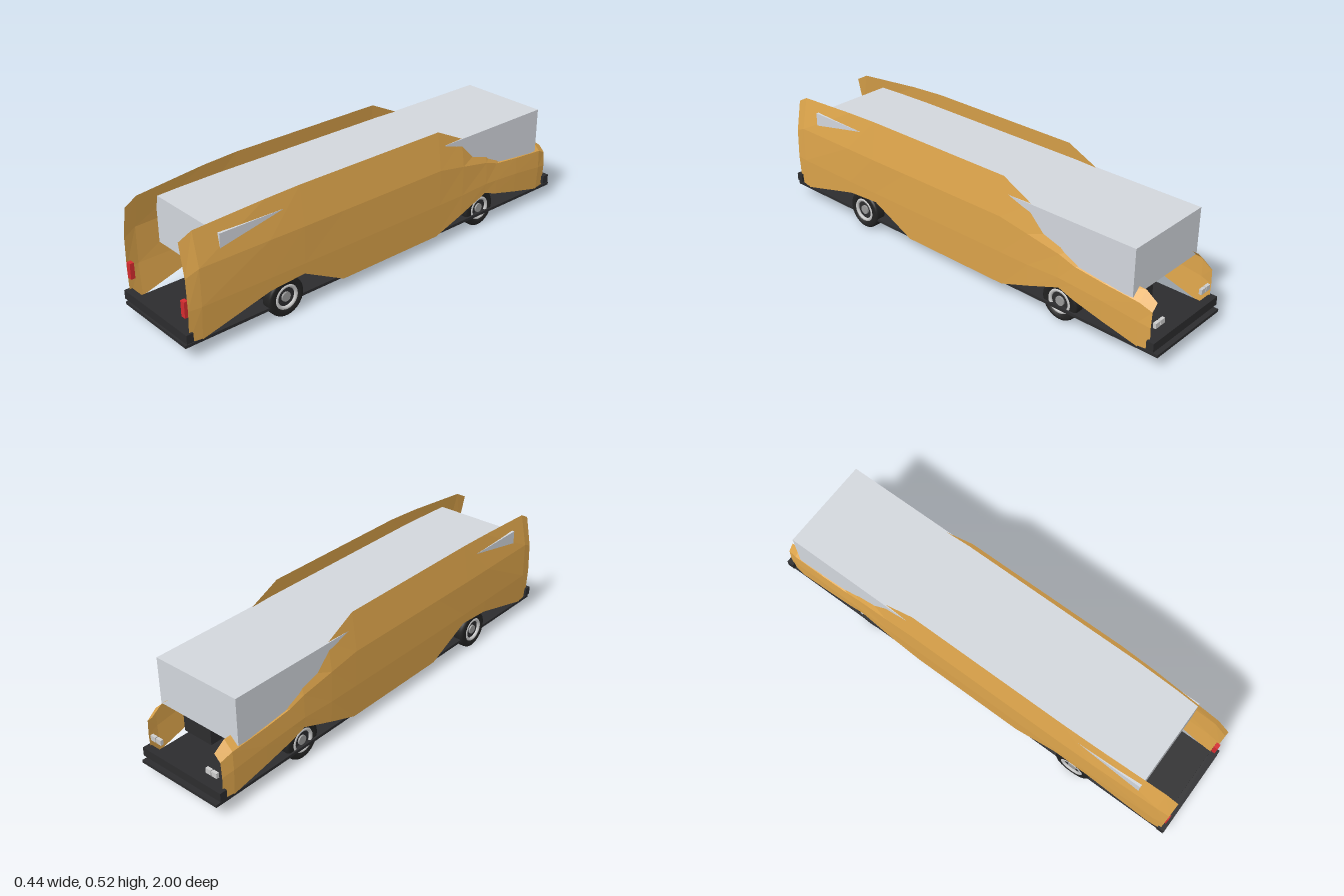
import * as THREE from 'three';

const mat = (color, extra = {}) => new THREE.MeshStandardMaterial({ color, ...extra });
const gold = mat(0xdfa64c, { side: THREE.DoubleSide, flatShading: true });
const shell = mat(0xd2d6dc), black = mat(0x2c2c2e), tyreMat = mat(0x222222);
const blue = mat(0x4d5b7c), red = mat(0xd42b2f), chrome = mat(0xdddddd), grey = mat(0x999999);

// Box given by its low and high corners
function box(name, lo, hi, material) {
  const g = new THREE.BoxGeometry(hi[0] - lo[0], hi[1] - lo[1], hi[2] - lo[2]);
  const m = new THREE.Mesh(g, material);
  m.position.set((lo[0] + hi[0]) / 2, (lo[1] + hi[1]) / 2, (lo[2] + hi[2]) / 2);
  m.name = name;
  return m;
}

// Same box on both sides of the centre line
function pair(group, name, lo, hi, material) {
  group.add(box(name + 'Left', lo, hi, material));
  group.add(box(name + 'Right', [-hi[0], lo[1], lo[2]], [-lo[0], hi[1], hi[2]], material));
}

// Body side sections: z, then x and y of the top edge, beltline, sill and bottom edge
const sections = [
  [0.98, 0.173, 0.465, 0.199, 0.33, 0.203, 0.2, 0.196, 0.07],
  [0.925, 0.178, 0.495, 0.208, 0.355, 0.21, 0.2, 0.2, 0.06],
  [0.62, 0.192, 0.518, 0.217, 0.36, 0.214, 0.2, 0.21, 0.143],
  [0.46, 0.196, 0.525, 0.219, 0.36, 0.215, 0.2, 0.212, 0.155],
  [0.26, 0.196, 0.525, 0.219, 0.36, 0.216, 0.2, 0.206, 0.05],
  [-0.26, 0.196, 0.525, 0.219, 0.36, 0.216, 0.2, 0.206, 0.05],
  [-0.4, 0.199, 0.457, 0.217, 0.335, 0.216, 0.2, 0.211, 0.103],
  [-0.55, 0.187, 0.385, 0.212, 0.305, 0.214, 0.205, 0.211, 0.16],
  [-0.62, 0.18, 0.35, 0.209, 0.28, 0.213, 0.2, 0.21, 0.135],
  [-0.75, 0.166, 0.292, 0.208, 0.265, 0.211, 0.19, 0.206, 0.1],
  [-0.91, 0.165, 0.287, 0.204, 0.25, 0.206, 0.17, 0.2, 0.06],
  [-0.96, 0.165, 0.252, 0.193, 0.225, 0.197, 0.16, 0.192, 0.06],
];

function sidePanel(name, side) {
  const pos = [], idx = [];
  sections.forEach(([z, ...p], i) => {
    for (let r = 0; r < 4; r++) {
      pos.push(side * p[r * 2], p[r * 2 + 1], z);
      if (i === 0 || r === 3) continue;
      const b = i * 4 + r, a = b - 4;
      if (side > 0) idx.push(a, a + 1, b, b, a + 1, b + 1);
      else idx.push(a, b, a + 1, b, b + 1, a + 1);
    }
  });
  const g = new THREE.BufferGeometry();
  g.setAttribute('position', new THREE.Float32BufferAttribute(pos, 3));
  g.setIndex(idx);
  g.computeVertexNormals();
  const m = new THREE.Mesh(g, gold);
  m.name = name;
  return m;
}

// Tyre with rounded shoulders, rim ring, dished disc and hub; outer face towards +x
function wheel(name, x, z, side) {
  const w = new THREE.Group();
  const h = 0.025, R = 0.083;
  const profile = [[0.05, -h], [0.074, -h], [0.081, -h + 0.004], [R, -h + 0.01],
    [R, h - 0.01], [0.081, h - 0.004], [0.074, h], [0.054, h], [0.052, h - 0.012], [0.05, -h]];
  const add = (part, geo, material, y) => {
    const m = new THREE.Mesh(geo, material);
    m.name = part;
    m.position.y = y;
    w.add(m);
  };
  add('tyre', new THREE.LatheGeometry(profile.map(([r, y]) => new THREE.Vector2(r, y)), 28), tyreMat, 0);
  const ring = new THREE.TorusGeometry(0.047, 0.008, 6, 28);
  ring.rotateX(Math.PI / 2);
  add('rimRing', ring, chrome, h - 0.006);
  add('rimDisc', new THREE.CylinderGeometry(0.052, 0.052, 0.03, 24), black, 0);
  add('hub', new THREE.CylinderGeometry(0.02, 0.022, 0.03, 16), grey, 0.007);
  w.rotation.z = -side * Math.PI / 2;
  w.position.set(side * x, R, z);
  w.name = name;
  return w;
}

export function createModel() {
  const g = new THREE.Group();

  // Body shell
  g.add(sidePanel('bodySideLeft', 1), sidePanel('bodySideRight', -1));
  g.add(box('cabinBox', [-0.204, 0.258, -0.88], [0.204, 0.458, 0.83], shell));

  // Floor and bumpers
  g.add(box('floor', [-0.2, 0.052, -1], [0.2, 0.064, 1], black));
  g.add(box('frontBumper', [-0.208, 0.073, 0.968], [0.208, 0.11, 0.998], black));
  g.add(box('backBumper', [-0.208, 0.073, -0.985], [0.208, 0.11, -0.953], black));

  // Inner housings and engine block
  pair(g, 'frontHousing', [0.055, 0.115, 0.47], [0.166, 0.21, 0.6], blue);
  pair(g, 'backHousing', [0.055, 0.115, -0.6], [0.166, 0.21, -0.4], blue);
  g.add(box('engineBlock', [0, 0.133, -0.83], [0.145, 0.21, -0.69], black));

  // Lamps
  pair(g, 'redLamp', [0.167, 0.168, 0.968], [0.19, 0.235, 0.986], red);
  pair(g, 'outerHeadlamp', [0.15, 0.15, -0.968], [0.176, 0.172, -0.955], chrome);
  pair(g, 'innerHeadlamp', [0.12, 0.15, -0.968], [0.146, 0.172, -0.955], chrome);

  // Twin wheels at the +z axle, single wheels at the other
  for (const side of [1, -1]) {
    const s = side > 0 ? 'Left' : 'Right';
    g.add(wheel('outerWheel' + s, 0.183, 0.545, side));
    g.add(wheel('innerWheel' + s, 0.103, 0.545, side));
    g.add(wheel('singleWheel' + s, 0.167, -0.54, side));
  }
  return g;
}
